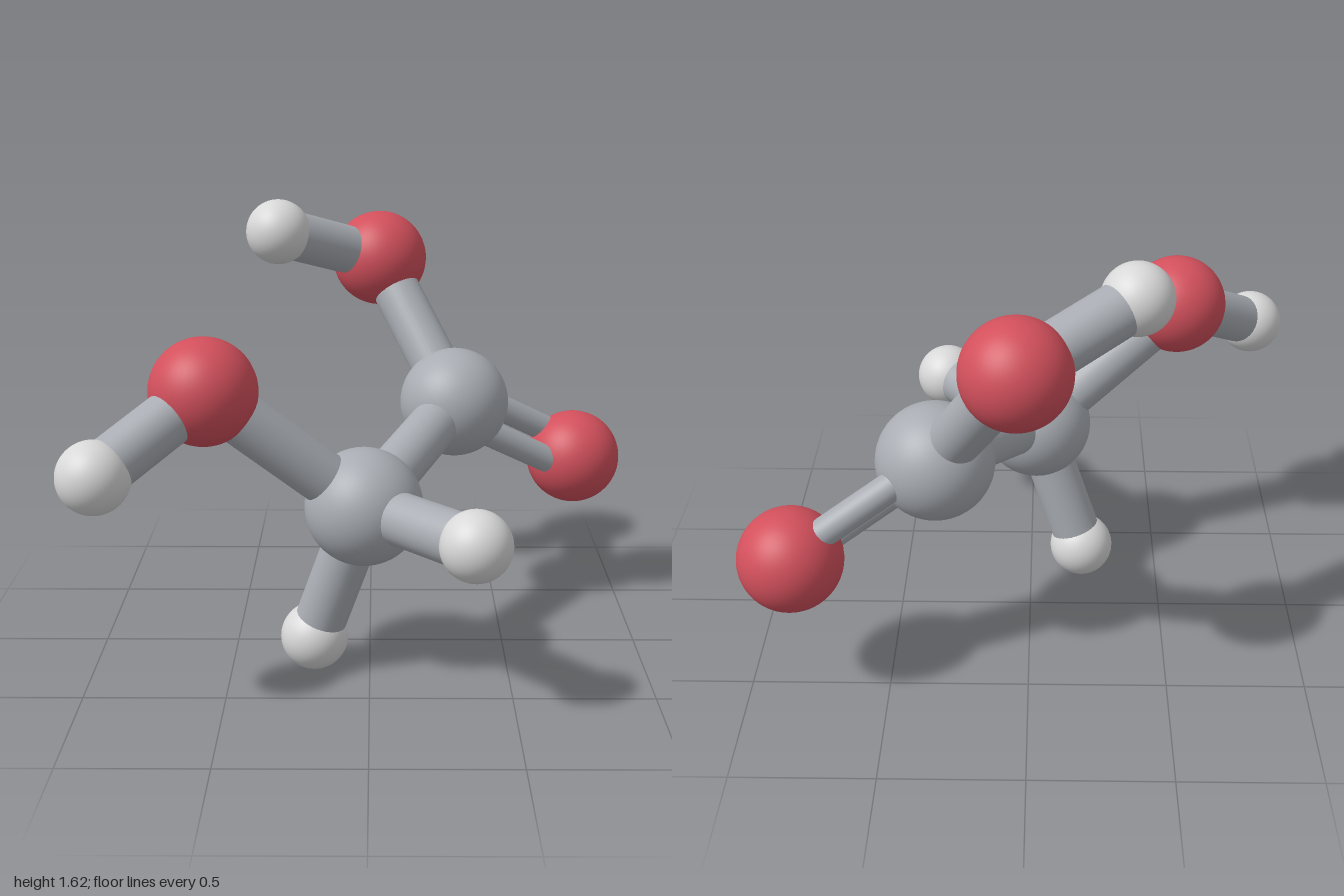
import * as THREE from 'three';

const material = (name, color) => {
  const m = new THREE.MeshStandardMaterial({ color });
  m.name = name;
  return m;
};

export function createModel() {
  const model = new THREE.Group();
  model.name = 'moleculeModel';

  const grey = material('grey', 0xa9adb3);
  const red = material('red', 0xd2505c);
  const white = material('white', 0xd8d8d8);

  const kinds = {
    carbon: { radius: 0.208, mat: grey },
    oxygen: { radius: 0.184, mat: red },
    hydrogen: { radius: 0.122, mat: white },
  };

  // Atoms: name -> kind and centre
  const atoms = {
    carbonFront: ['carbon', -0.02, 0.64, 0.303],
    carbonBack: ['carbon', 0.323, 0.847, -0.339],
    oxygenSide: ['oxygen', -0.553, 1.088, 0.438],
    oxygenTop: ['oxygen', 0.035, 1.353, -0.665],
    oxygenDouble: ['oxygen', 0.815, 0.568, -0.538],
    hydrogenTop: ['hydrogen', -0.35, 1.494, -0.409],
    hydrogenSide: ['hydrogen', -0.878, 0.88, 0.726],
    hydrogenFront: ['hydrogen', 0.348, 0.64, 0.7],
    hydrogenBottom: ['hydrogen', -0.2, 0.122, 0.235],
  };

  const centre = {};
  for (const [name, [kind, x, y, z]] of Object.entries(atoms)) {
    const { radius, mat } = kinds[kind];
    const ball = new THREE.Mesh(new THREE.SphereGeometry(radius, 48, 32), mat);
    ball.name = name;
    ball.position.set(x, y, z);
    centre[name] = ball.position;
    model.add(ball);
  }

  // A rod between two points
  const up = new THREE.Vector3(0, 1, 0);
  const addBond = (name, a, b, radius) => {
    const dir = b.clone().sub(a);
    const rod = new THREE.Mesh(new THREE.CylinderGeometry(radius, radius, dir.length(), 32, 1, true), grey);
    rod.name = name;
    rod.position.copy(a).lerp(b, 0.5);
    rod.quaternion.setFromUnitVectors(up, dir.normalize());
    model.add(rod);
  };

  // Single bonds
  const singles = [
    ['carbonFront', 'carbonBack'],
    ['carbonFront', 'oxygenSide'],
    ['carbonFront', 'hydrogenFront'],
    ['carbonFront', 'hydrogenBottom'],
    ['carbonBack', 'oxygenTop'],
    ['oxygenTop', 'hydrogenTop'],
    ['oxygenSide', 'hydrogenSide'],
  ];
  for (const [a, b] of singles) addBond(`bond_${a}_${b}`, centre[a], centre[b], 0.093);

  // Double bond: two thin rods spread in the plane of the neighbouring atoms
  const a = centre.carbonBack, b = centre.oxygenDouble;
  const axis = b.clone().sub(a).normalize();
  const spread = centre.oxygenTop.clone().sub(centre.carbonFront).projectOnPlane(axis).setLength(0.076);
  for (const side of [1, -1]) {
    const offset = spread.clone().multiplyScalar(side);
    addBond(side > 0 ? 'doubleBondUpper' : 'doubleBondLower', a.clone().add(offset), b.clone().add(offset), 0.052);
  }

  return model;
}
